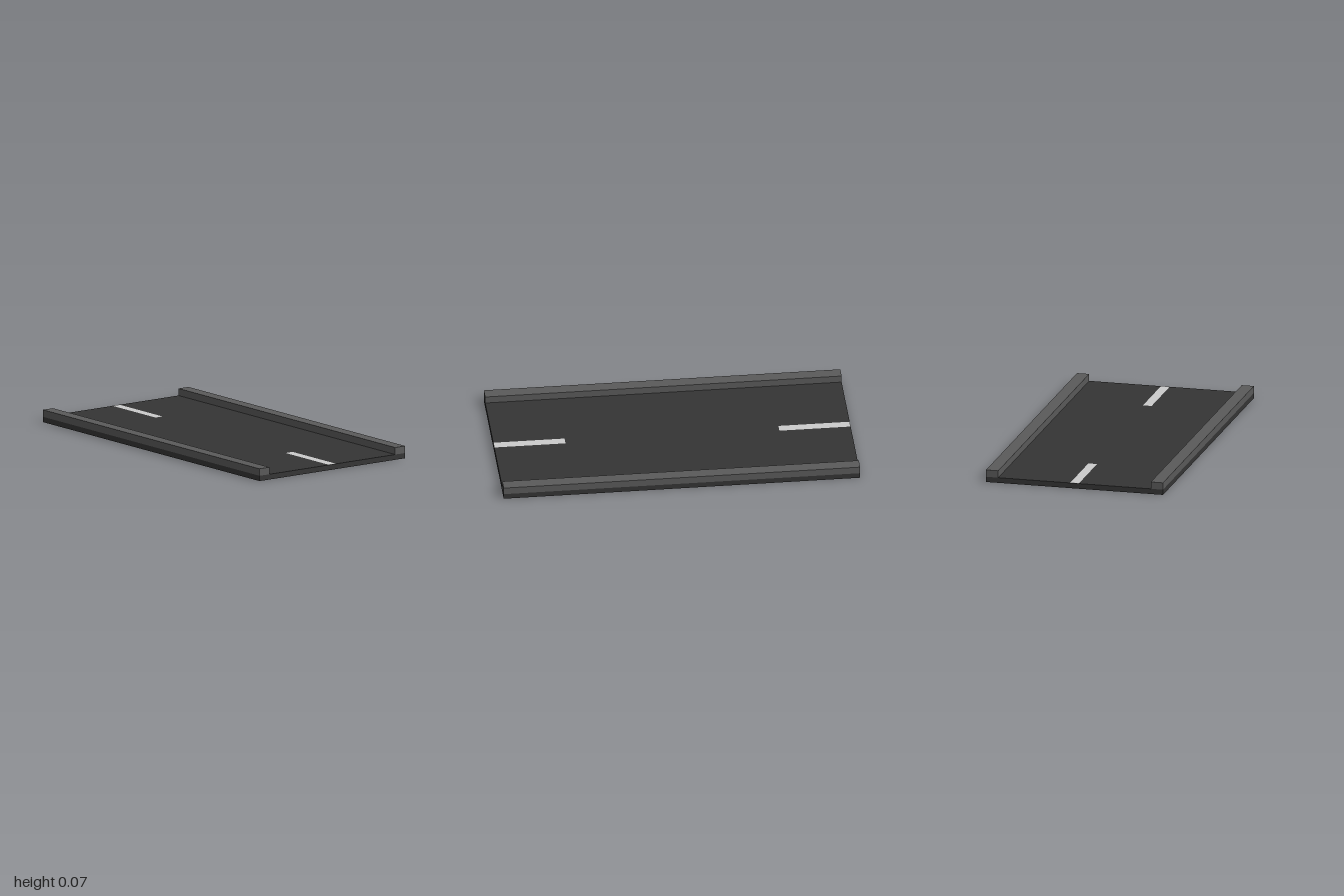
import * as THREE from 'three';

const LENGTH = 2;
const WIDTH = 1.02;
const ROAD_H = 0.03;
const CURB_W = 0.07;
const CURB_H = 0.04;

const material = (color) => new THREE.MeshStandardMaterial({ color });

export function createModel() {
  const group = new THREE.Group();
  group.name = 'roadSegment';

  const add = (name, geometry, mat, x, y, z) => {
    const mesh = new THREE.Mesh(geometry, mat);
    mesh.name = name;
    mesh.position.set(x, y, z);
    group.add(mesh);
  };

  const asphalt = material(0x353535);
  const concrete = material(0x5a5a5a);
  const paint = material(0xffffff);

  // Road slab
  add('roadSlab', new THREE.BoxGeometry(WIDTH, ROAD_H, LENGTH), asphalt, 0, ROAD_H / 2, 0);

  // Raised curbs along both sides
  const curb = new THREE.BoxGeometry(CURB_W, CURB_H, LENGTH);
  for (const [name, s] of [['leftCurb', 1], ['rightCurb', -1]]) {
    add(name, curb, concrete, s * (WIDTH - CURB_W) / 2, ROAD_H + CURB_H / 2, 0);
  }

  // Painted centre dashes, one at each end
  const dash = new THREE.PlaneGeometry(0.05, 0.4).rotateX(-Math.PI / 2);
  for (const [name, s] of [['frontDash', 1], ['backDash', -1]]) {
    add(name, dash, paint, 0, ROAD_H + 0.001, s * 0.8);
  }

  return group;
}
